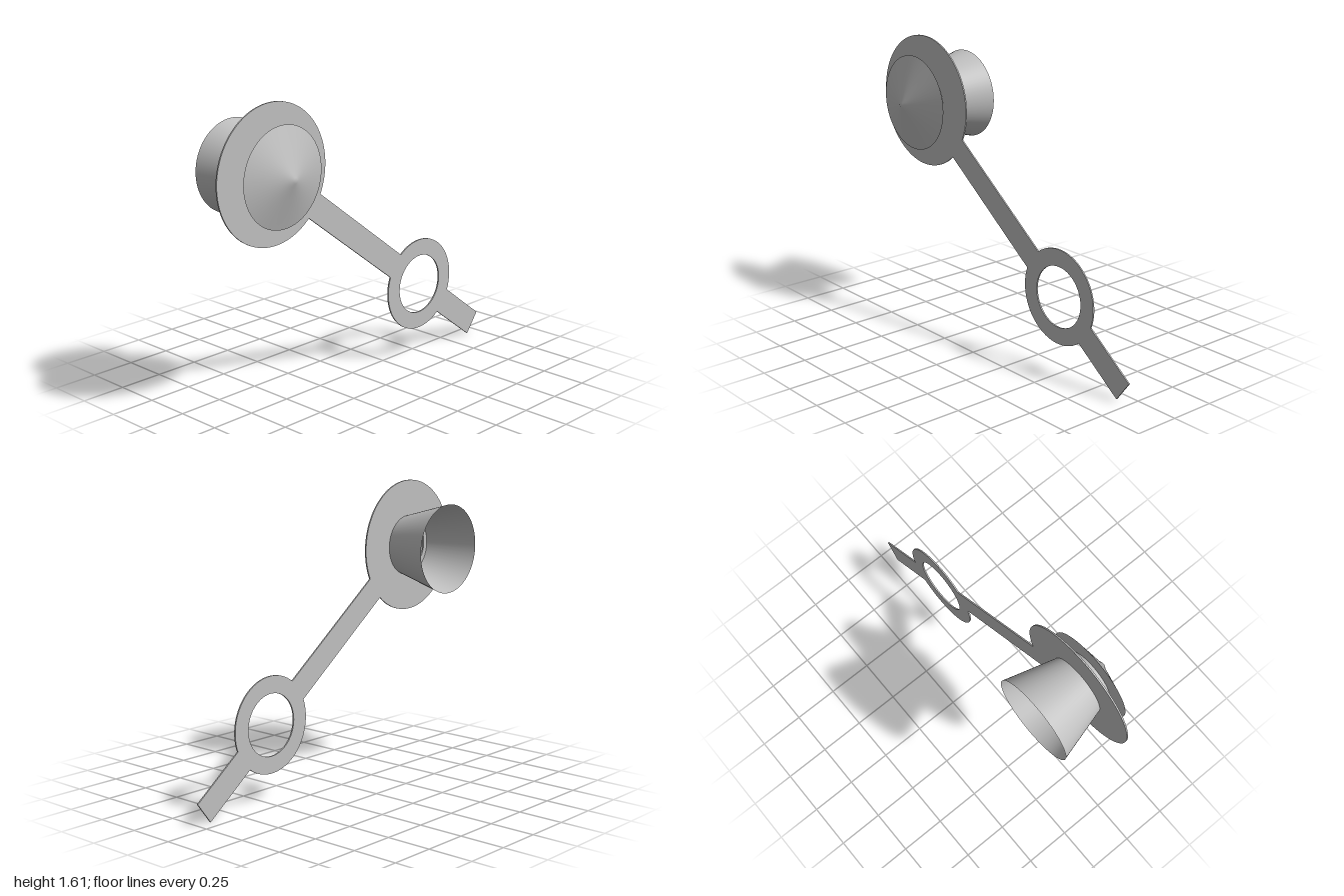
import * as THREE from 'three';

export function createModel() {
  const group = new THREE.Group();
  group.name = 'strapWithCap';
  const grey = new THREE.MeshStandardMaterial({ color: 0xc0c0c0, side: THREE.DoubleSide });
  grey.name = 'grey';

  const add = (name, geometry, parent) => {
    const mesh = new THREE.Mesh(geometry, grey);
    mesh.name = name;
    parent.add(mesh);
  };

  // Flat strap, laid out along its length from the centre of the big disc
  const bigR = 0.365, ringR = 0.26, ringX = 1.389, half = 0.07, end = 1.99;
  const a = Math.asin(half / bigR), b = Math.asin(half / ringR);
  const outline = new THREE.Shape();
  outline.absarc(0, 0, bigR, a, Math.PI * 2 - a, false);
  outline.absarc(ringX, 0, ringR, Math.PI + b, Math.PI * 2 - b, false);
  outline.lineTo(end, -half);
  outline.lineTo(end, half);
  outline.absarc(ringX, 0, ringR, b, Math.PI - b, false);
  outline.closePath();
  for (const [x, r] of [[0, 0.14], [ringX, 0.167]]) {
    const hole = new THREE.Path();
    hole.absarc(x, 0, r, 0, Math.PI * 2, true);
    outline.holes.push(hole);
  }
  const strap = new THREE.ExtrudeGeometry(outline, { depth: 0.008, bevelEnabled: false, curveSegments: 48 });
  strap.rotateZ(-Math.atan2(0.6, 0.8));
  strap.translate(-0.635, 1.257, 0.06);
  add('strap', strap, group);

  // Plug: pointed cap, flat underside and open flared sleeve, turned around z
  const plug = new THREE.Group();
  plug.name = 'plug';
  plug.position.set(-0.635, 1.257, 0);
  group.add(plug);
  const turned = (name, points) => {
    const profile = points.map(([r, z]) => new THREE.Vector2(r, z));
    add(name, new THREE.LatheGeometry(profile, 64).rotateX(Math.PI / 2), plug);
  };
  turned('cap', [[0.263, 0.142], [0.035, 0.217], [0.015, 0.228], [0, 0.228]]);
  turned('capUnderside', [[0.145, 0.142], [0.263, 0.142]]);
  turned('sleeve', [[0.246, -0.226], [0.145, 0.142]]);

  return group;
}
